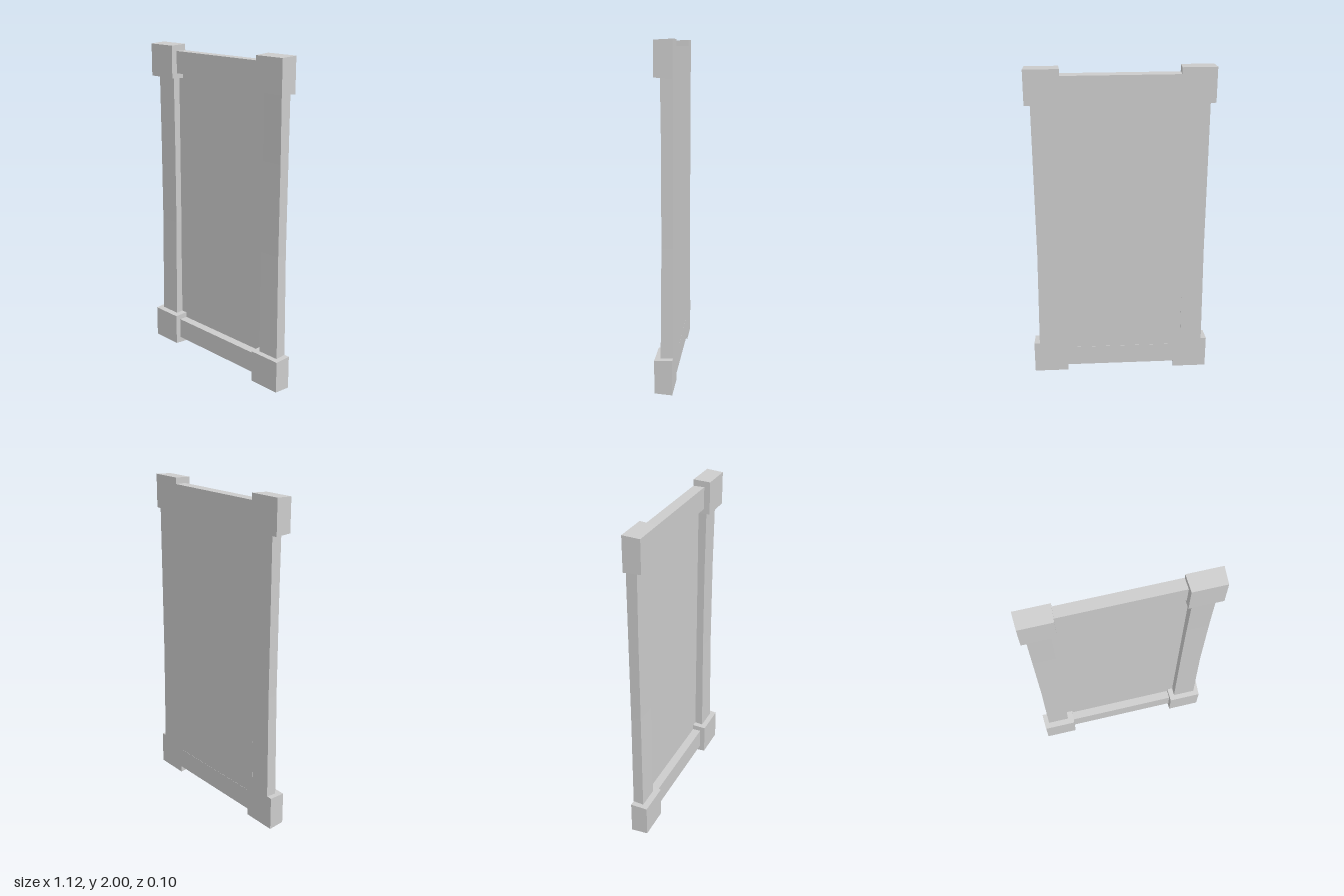
import * as THREE from 'three';

const BACK = -0.052;

export function createModel() {
  const model = new THREE.Group();
  model.name = 'framedPanel';
  const material = new THREE.MeshStandardMaterial({ color: 0xcccccc, flatShading: true });

  const add = (name, geometry) => {
    geometry.computeVertexNormals();
    const mesh = new THREE.Mesh(geometry, material);
    mesh.name = name;
    model.add(mesh);
  };

  // Box between two corners, flush with the back; the front face shrinks by inset
  const slab = (name, x0, x1, y0, y1, front, inset = 0) => {
    const w = x1 - x0, h = y1 - y0;
    const geometry = new THREE.BoxGeometry(w, h, front - BACK);
    const p = geometry.attributes.position;
    for (let i = 0; i < p.count; i++) {
      if (p.getZ(i) > 0) {
        p.setX(i, p.getX(i) * (1 - (2 * inset) / w));
        p.setY(i, p.getY(i) * (1 - (2 * inset) / h));
      }
    }
    geometry.translate((x0 + x1) / 2, (y0 + y1) / 2, (front + BACK) / 2);
    add(name, geometry);
  };

  // Upright bar through rows of [y, low x, high x, front z], top row first
  const stile = (name, rows) => {
    const geometry = new THREE.BoxGeometry(1, 1, 1, 1, rows.length - 1, 1);
    const p = geometry.attributes.position;
    for (let i = 0; i < p.count; i++) {
      const [y, low, high, front] = rows[Math.round((0.5 - p.getY(i)) * (rows.length - 1))];
      p.setXYZ(i, p.getX(i) < 0 ? low : high, y, p.getZ(i) < 0 ? BACK : front);
    }
    add(name, geometry);
  };

  // Recessed panel, meeting the inner edges of the frame
  slab('panel', -0.388, 0.382, 0.174, 1.827, -0.033);

  // Top and bottom rails
  slab('topRail', -0.36, 0.36, 1.826, 1.961, 0.016);
  slab('bottomRail', -0.36, 0.36, 0.041, 0.173, 0.02);

  // Side stiles, slightly hollow in front and flaring towards the foot
  stile('leftStile', [
    [1.81, 0.382, 0.516, 0.019],
    [1.4, 0.382, 0.515, 0.014],
    [0.85, 0.382, 0.514, 0.014],
    [0.55, 0.382, 0.519, 0.016],
    [0.19, 0.382, 0.525, 0.019],
  ]);
  stile('rightStile', [
    [1.81, -0.518, -0.385, 0.013],
    [1.4, -0.518, -0.385, 0.01],
    [0.85, -0.518, -0.385, 0.01],
    [0.55, -0.522, -0.388, 0.012],
    [0.19, -0.526, -0.389, 0.014],
  ]);

  // Tapered corner blocks, the lower pair a little larger
  const taper = 0.005;
  slab('topLeftBlock', 0.345, 0.551, 1.792, 2, 0.052, taper);
  slab('topRightBlock', -0.551, -0.348, 1.792, 2, 0.052, taper);
  slab('bottomLeftBlock', 0.345, 0.56, 0, 0.209, 0.052, taper);
  slab('bottomRightBlock', -0.56, -0.348, 0, 0.209, 0.052, taper);

  return model;
}
